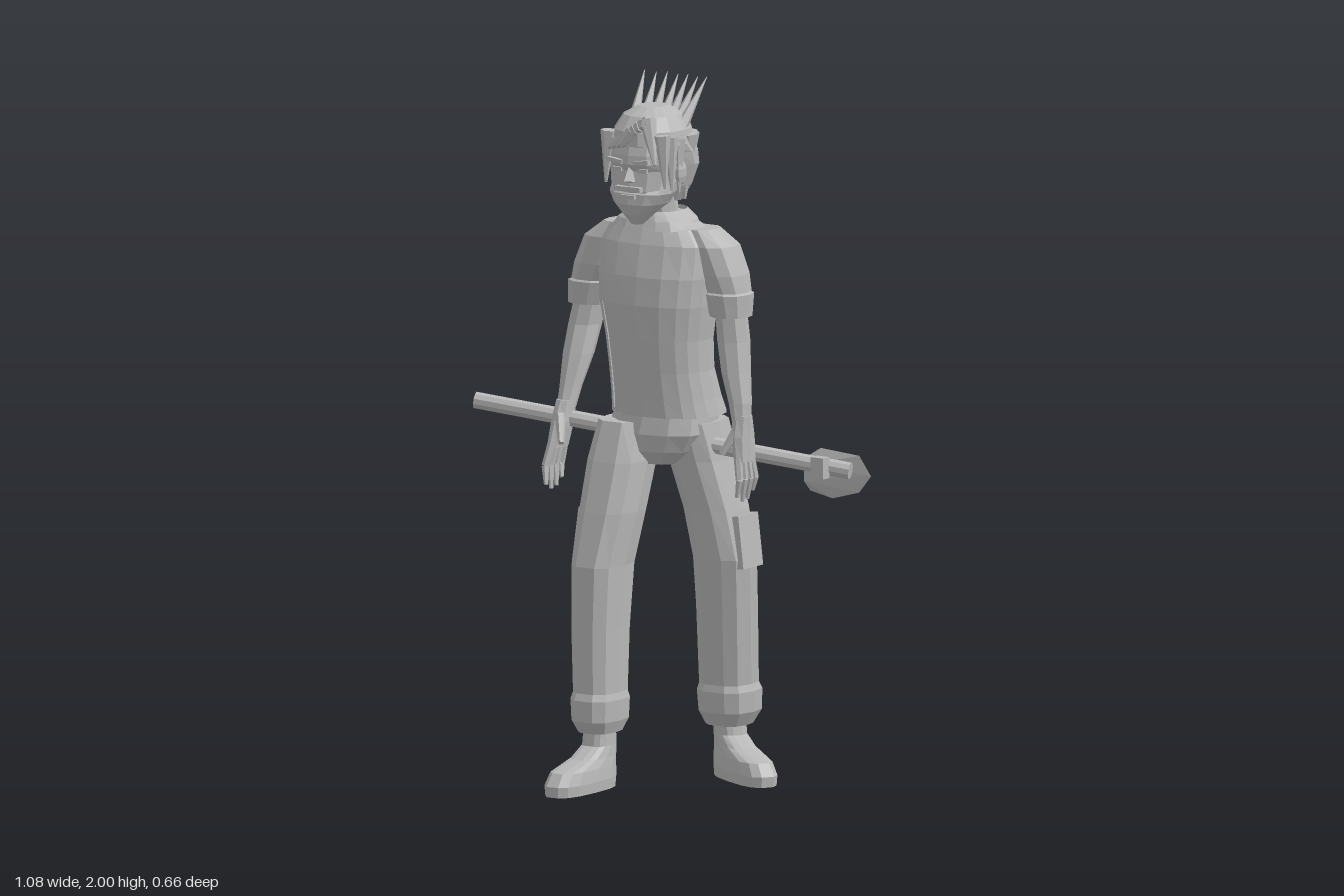
import * as THREE from 'three';
import { ConvexGeometry } from 'three/addons/geometries/ConvexGeometry.js';

const clay = new THREE.MeshStandardMaterial({ color: 0xb8b8b8, flatShading: true, side: THREE.DoubleSide });
clay.name = 'plain grey';

function add(parent, name, geo) {
  const m = new THREE.Mesh(geo, clay);
  m.name = name;
  parent.add(m);
  return m;
}

// Skin over level rings [x, y, z, radiusX, radiusZ] listed from top to bottom
function loft(rings, { n = 10, p = 2.4, from = 0, to = Math.PI * 2 } = {}) {
  const pos = [], idx = [], closed = to - from > 6.28;
  const bend = v => Math.sign(v) * Math.abs(v) ** (2 / p);
  for (const [x, y, z, rx, rz] of rings)
    for (let j = 0; j <= n; j++) {
      const a = from + (to - from) * j / n;
      pos.push(x + rx * bend(Math.cos(a)), y, z + rz * bend(Math.sin(a)));
    }
  const w = n + 1, last = rings.length - 1;
  for (let i = 0; i < last; i++)
    for (let j = 0; j < n; j++) {
      const a = i * w + j, b = a + w;
      idx.push(a, a + 1, b, a + 1, b + 1, b);
    }
  if (closed) {
    const c = pos.length / 3;
    pos.push(...rings[0].slice(0, 3), ...rings[last].slice(0, 3));
    for (let j = 0; j < n; j++)
      idx.push(c, j + 1, j, c + 1, last * w + j, last * w + j + 1);
  }
  const g = new THREE.BufferGeometry();
  g.setAttribute('position', new THREE.Float32BufferAttribute(pos, 3));
  g.setIndex(idx);
  g.computeVertexNormals();
  return g;
}

// Straight round bar between two points
function bar(parent, name, a, b, ra, rb, sides = 6) {
  const A = new THREE.Vector3(...a), B = new THREE.Vector3(...b), d = B.clone().sub(A);
  const m = add(parent, name, new THREE.CylinderGeometry(rb, ra, d.length(), sides));
  m.position.copy(A).add(B).multiplyScalar(0.5);
  m.quaternion.setFromUnitVectors(new THREE.Vector3(0, 1, 0), d.normalize());
  return m;
}

function box(parent, name, size, at) {
  const m = add(parent, name, new THREE.BoxGeometry(...size));
  m.position.set(...at);
  return m;
}

function foot(parent, name, x, z, turn) {
  const m = add(parent, name, loft([
    [0, 0.19, -0.005, 0.04, 0.045], [0, 0.12, 0, 0.042, 0.05], [0, 0.09, 0.03, 0.046, 0.08],
    [0, 0.065, 0.08, 0.052, 0.132], [0, 0.03, 0.095, 0.056, 0.145], [0, 0, 0.095, 0.054, 0.142]], { n: 14, p: 2.8 }));
  m.position.set(x, 0, z);
  m.rotation.y = turn;
}

// Palm, four fingers and a thumb hanging from the wrist
function hand(parent, name, [x, y, z], lean, side) {
  const g = new THREE.Group();
  g.name = name;
  g.position.set(x, y, z);
  parent.add(g);
  add(g, 'palm', loft([[0, 0.02, 0, 0.026, 0.028], [0, -0.04, lean * 0.3, 0.025, 0.042],
    [side * 0.005, -0.11, lean * 0.6, 0.02, 0.043]], { n: 8 }));
  for (let i = 0; i < 4; i++) {
    const s = (i - 1.5) * 0.022, drop = [0.2, 0.22, 0.225, 0.21][i];
    const knuckle = [side * 0.012, -0.16, lean * 0.8 + s * 1.2];
    bar(g, 'finger', [side * 0.004, -0.1, lean * 0.6 + s], knuckle, 0.012, 0.011);
    bar(g, 'fingertip', knuckle, [side * 0.002, -drop, lean + s * 1.2], 0.011, 0.006);
  }
  bar(g, 'thumb', [-side * 0.005, -0.02, lean * 0.3 + 0.02], [-side * 0.04, -0.09, lean * 0.6 + 0.05], 0.016, 0.009);
}

export function createModel() {
  const model = new THREE.Group();
  model.name = 'walkingMan';

  // Shirt and vest
  const shirt = [
    [-0.04, 1.62, -0.09, 0.075, 0.07], [-0.04, 1.585, -0.09, 0.14, 0.085], [-0.035, 1.54, -0.085, 0.175, 0.1],
    [-0.03, 1.45, -0.075, 0.172, 0.115], [-0.03, 1.37, -0.072, 0.165, 0.12], [-0.028, 1.27, -0.075, 0.148, 0.115],
    [-0.026, 1.18, -0.083, 0.144, 0.112], [-0.022, 1.1, -0.1, 0.148, 0.122], [-0.02, 1.05, -0.112, 0.154, 0.13]];
  add(model, 'shirt', loft(shirt, { n: 16 }));
  add(model, 'vest', loft(shirt.slice(1).map(([x, y, z, rx, rz]) => [x, y, z, rx + 0.007, rz + 0.007]),
    { n: 16, from: Math.PI / 2 + 0.75, to: Math.PI * 2.5 - 0.75 }));
  add(model, 'collar', loft([[-0.04, 1.63, -0.09, 0.075, 0.078], [-0.04, 1.605, -0.085, 0.115, 0.09],
    [-0.04, 1.58, -0.08, 0.13, 0.095]], { n: 14, from: Math.PI / 2 + 0.35, to: Math.PI * 2.5 - 0.35 }));

  // Trousers
  add(model, 'trouserSeat', loft([[-0.025, 1.07, -0.11, 0.145, 0.122], [-0.032, 1, -0.1, 0.155, 0.125],
    [-0.03, 0.95, -0.095, 0.12, 0.11], [-0.025, 0.91, -0.09, 0.06, 0.07]], { n: 12 }));
  add(model, 'rightTrouserLeg', loft([
    [-0.115, 1.03, -0.06, 0.075, 0.1], [-0.115, 0.92, -0.015, 0.086, 0.095], [-0.117, 0.78, 0.03, 0.083, 0.092],
    [-0.126, 0.63, 0.066, 0.073, 0.095], [-0.128, 0.45, 0.075, 0.068, 0.088], [-0.126, 0.27, 0.079, 0.064, 0.082],
    [-0.126, 0.25, 0.08, 0.069, 0.09], [-0.126, 0.19, 0.08, 0.066, 0.088], [-0.126, 0.155, 0.08, 0.052, 0.065]], { p: 2.8 }));
  add(model, 'leftTrouserLeg', loft([
    [0.05, 1.03, -0.135, 0.08, 0.1], [0.065, 0.92, -0.155, 0.085, 0.096], [0.1, 0.78, -0.168, 0.083, 0.086],
    [0.125, 0.64, -0.175, 0.084, 0.078], [0.115, 0.5, -0.2, 0.08, 0.078], [0.095, 0.27, -0.24, 0.076, 0.078],
    [0.095, 0.25, -0.243, 0.083, 0.086], [0.094, 0.19, -0.248, 0.08, 0.084], [0.09, 0.15, -0.25, 0.06, 0.062]], { p: 2.8 }));
  box(model, 'rightPocket', [0.025, 0.15, 0.1], [-0.195, 0.7, 0.035]).rotation.x = -0.22;
  box(model, 'leftPocket', [0.025, 0.15, 0.1], [0.196, 0.69, -0.18]).rotation.z = 0.12;
  foot(model, 'rightShoe', -0.12, 0.094, 0);
  foot(model, 'leftShoe', 0.085, -0.262, 1.05);

  // Arms
  const armParts = {
    right: [
      [[-0.165, 1.585, -0.09, 0.045, 0.055], [-0.2, 1.54, -0.09, 0.072, 0.075], [-0.232, 1.46, -0.09, 0.075, 0.075],
        [-0.255, 1.41, -0.092, 0.066, 0.066], [-0.258, 1.405, -0.092, 0.073, 0.072], [-0.27, 1.34, -0.09, 0.062, 0.063]],
      [[-0.265, 1.38, -0.09, 0.045, 0.05], [-0.283, 1.28, -0.08, 0.047, 0.052], [-0.285, 1.2, -0.05, 0.045, 0.047],
        [-0.286, 1.11, -0.012, 0.032, 0.034], [-0.286, 1.05, 0.012, 0.026, 0.03]]],
    left: [
      [[0.1, 1.585, -0.1, 0.045, 0.055], [0.13, 1.54, -0.105, 0.072, 0.075], [0.16, 1.46, -0.11, 0.072, 0.073],
        [0.177, 1.41, -0.112, 0.064, 0.062], [0.178, 1.405, -0.112, 0.07, 0.068], [0.188, 1.34, -0.112, 0.056, 0.058]],
      [[0.185, 1.38, -0.112, 0.045, 0.046], [0.195, 1.27, -0.115, 0.047, 0.048], [0.21, 1.18, -0.105, 0.042, 0.043],
        [0.23, 1.1, -0.095, 0.033, 0.034], [0.237, 1.05, -0.09, 0.026, 0.03]]]
  };
  for (const [side, [sleeve, forearm]] of Object.entries(armParts)) {
    add(model, side + 'Sleeve', loft(sleeve));
    add(model, side + 'Forearm', loft(forearm, { n: 8, p: 2 }));
  }
  hand(model, 'rightHand', [-0.286, 1.055, 0.012], 0.06, -1);
  hand(model, 'leftHand', [0.24, 1.045, -0.09], -0.01, 1);

  // Head and face
  const head = new THREE.Group();
  head.name = 'head';
  head.position.x = -0.04;
  model.add(head);
  add(head, 'neck', loft([[0, 1.71, -0.07, 0.055, 0.06], [0, 1.59, -0.09, 0.06, 0.058]], { n: 8, p: 2 }));
  add(head, 'face', loft([[0, 1.86, -0.04, 0.085, 0.09], [0, 1.8, -0.03, 0.098, 0.098], [0, 1.775, -0.03, 0.098, 0.1],
    [0, 1.755, -0.03, 0.096, 0.088], [0, 1.7, -0.02, 0.09, 0.085], [0, 1.66, -0.01, 0.075, 0.07], [0, 1.635, 0, 0.045, 0.045]], { n: 12 }));
  add(head, 'beard', loft([[0, 1.725, -0.025, 0.099, 0.06], [0, 1.69, -0.008, 0.095, 0.076], [0, 1.66, 0, 0.076, 0.07],
    [0, 1.63, 0.012, 0.045, 0.045], [0, 1.6, 0.02, 0.016, 0.018]], { n: 12 }));
  add(head, 'nose', new ConvexGeometry([[0, 1.785, 0.055], [-0.02, 1.725, 0.055], [0.02, 1.725, 0.055],
    [0, 1.73, 0.088], [0, 1.72, 0.06]].map(v => new THREE.Vector3(...v))));
  box(head, 'moustache', [0.085, 0.014, 0.02], [0, 1.705, 0.064]);
  box(head, 'lowerLip', [0.05, 0.01, 0.016], [0, 1.683, 0.066]);
  for (const s of [-1, 1]) {
    box(head, 'eyebrow', [0.05, 0.012, 0.014], [s * 0.044, 1.783, 0.066]).rotation.z = s * 0.12;
    box(head, 'eye', [0.03, 0.012, 0.009], [s * 0.043, 1.758, 0.058]);
    const ear = add(head, 'ear', new THREE.SphereGeometry(0.035, 6, 5));
    ear.scale.set(0.35, 1, 0.7);
    ear.position.set(s * 0.1, 1.745, -0.05);
  }

  // Hair: cap, swept fringe, side and nape locks, upright spikes
  add(head, 'hairCap', loft([[0, 1.927, -0.06, 0.04, 0.045], [0, 1.905, -0.058, 0.08, 0.088], [0, 1.865, -0.058, 0.104, 0.118],
    [0, 1.825, -0.062, 0.111, 0.126], [0, 1.8, -0.09, 0.111, 0.1], [0, 1.76, -0.11, 0.108, 0.08],
    [0, 1.7, -0.108, 0.088, 0.062], [0, 1.655, -0.105, 0.062, 0.044]], { n: 14, p: 2.1 }));
  for (let i = 0; i < 5; i++) {
    bar(head, 'fringeLock', [0.05 - i * 0.012, 1.895 - i * 0.008, 0.03 + i * 0.004],
      [-0.1 + i * 0.018, 1.81 + i * 0.004, 0.035 + i * 0.007], 0.024, 0.01);
  }
  for (const s of [-1, 1])
    for (let i = 0; i < 3; i++)
      bar(head, 'sideLock', [s * 0.09, 1.86 - i * 0.01, 0.03 - i * 0.04], [s * 0.1, 1.71 - i * 0.01, 0.03 - i * 0.035], 0.024, 0.004);
  bar(head, 'looseLock', [0.04, 1.9, 0.03], [0.085, 1.78, 0.06], 0.026, 0.005);
  for (let i = 0; i < 9; i++) {
    const a = -Math.PI * (0.08 + 0.84 * i / 8), c = Math.cos(a), s = Math.sin(a);
    bar(head, 'backLock', [c * 0.09, 1.85, -0.075 + s * 0.085], [c * 0.075, 1.66, -0.095 + s * 0.05], 0.034, 0.006);
  }
  for (let i = 0; i < 7; i++) {
    const t = (i - 3) / 3;
    bar(head, 'hairSpike', [t * 0.08, 1.865, -0.1 + 0.02 * t * t], [t * 0.105, 2 - 0.004 * (i % 2), -0.185 + 0.012 * t * t], 0.02, 0.001, 5);
  }

  // Long-handled tool carried behind the body
  bar(model, 'toolHandle', [-0.535, 1.06, 0.098], [0.505, 0.91, -0.24], 0.024, 0.024, 10);
  const rim = [[0.33, 0.93], [0.37, 0.955], [0.5, 0.945], [0.54, 0.89], [0.5, 0.84], [0.41, 0.815], [0.335, 0.83]]
    .map(([x, y]) => new THREE.Vector3(x, y, -0.292));
  const spine = [-0.315, -0.27].flatMap(z => [0.86, 0.905].map(y => new THREE.Vector3(0.328, y, z)));
  add(model, 'toolBlade', new ConvexGeometry([...rim, ...spine]));
  box(model, 'toolClamp', [0.042, 0.06, 0.032], [0.436, 0.92, -0.19]);
  return model;
}
